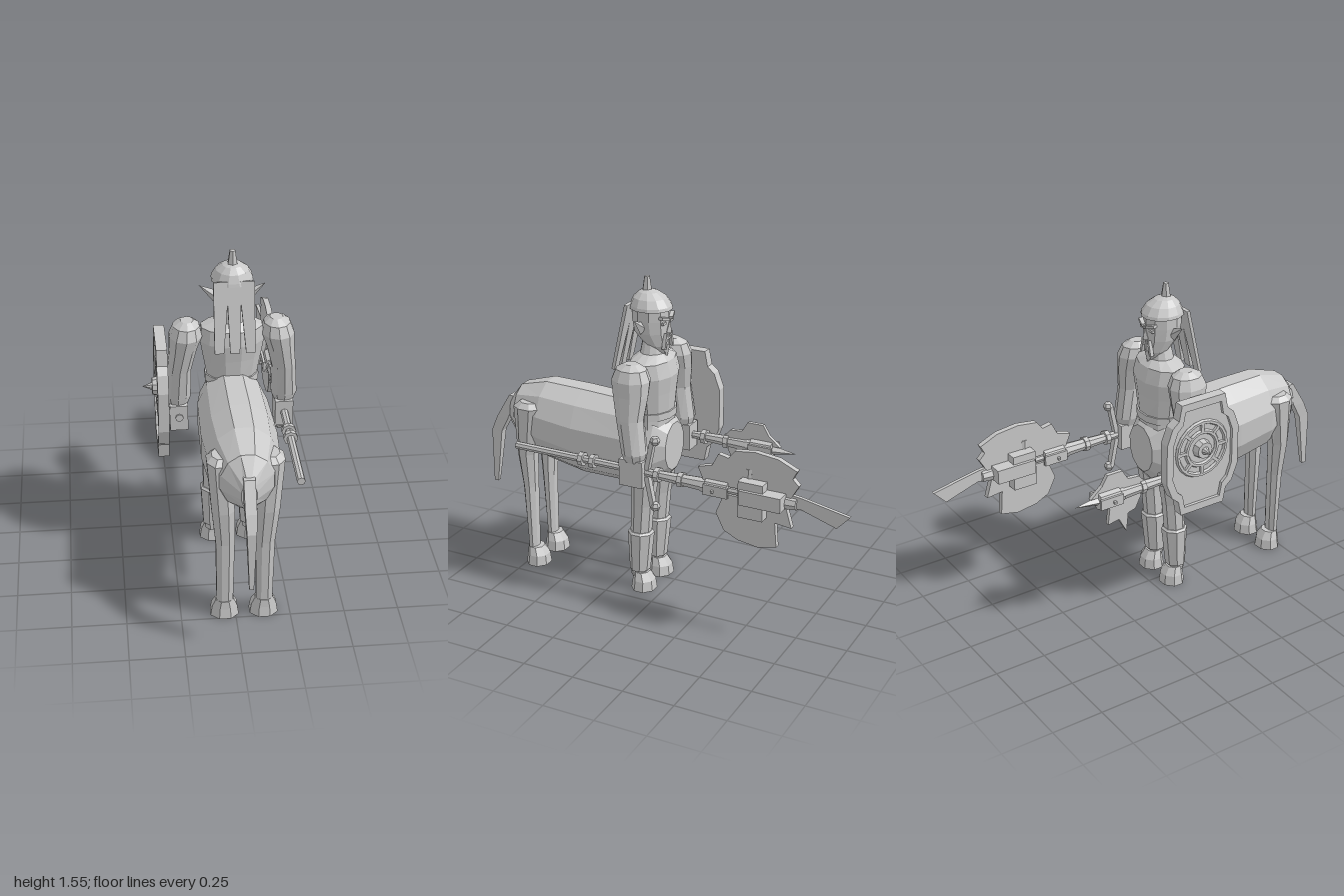
import * as THREE from 'three';

const stone = new THREE.MeshStandardMaterial({ color: 0xc8c8c8, flatShading: true, side: THREE.DoubleSide });
stone.name = 'light grey';

function add(parent, name, geo, x = 0, y = 0, z = 0) {
  const m = new THREE.Mesh(geo, stone);
  m.name = name;
  m.position.set(x, y, z);
  parent.add(m);
  return m;
}
function group(parent, name, x = 0, y = 0, z = 0) {
  const g = new THREE.Group();
  g.name = name;
  g.position.set(x, y, z);
  parent.add(g);
  return g;
}
const box = (w, h, d) => new THREE.BoxGeometry(w, h, d);

// Skin over elliptical rings [x, y, z, r1, r2]: flat rings go up y, upright rings go towards -z
function loft(rings, sides, upright = false) {
  const pos = [], idx = [], n = rings.length;
  for (const [x, y, z, r1, r2] of rings)
    for (let j = 0; j < sides; j++) {
      const a = ((j + 0.5) / sides) * Math.PI * 2, c = Math.cos(a) * r1, s = Math.sin(a) * r2;
      if (upright) pos.push(x + c, y + s, z); else pos.push(x + c, y, z + s);
    }
  for (const k of [0, n - 1]) pos.push(rings[k][0], rings[k][1], rings[k][2]);
  for (let j = 0; j < sides; j++) {
    const k = (j + 1) % sides, top = (n - 1) * sides;
    for (let i = 0; i < n - 1; i++) {
      const a = i * sides + j, b = a + sides, c = i * sides + k, d = c + sides;
      idx.push(a, b, c, b, d, c);
    }
    idx.push(n * sides, j, k, n * sides + 1, top + k, top + j);
  }
  const g = new THREE.BufferGeometry();
  g.setAttribute('position', new THREE.Float32BufferAttribute(pos, 3));
  g.setIndex(idx);
  const flat = g.toNonIndexed();
  flat.computeVertexNormals();
  return flat;
}

// Plate standing in the z/y plane, outlined by [z, y] points
function plate(points, thick, hole) {
  const flip = (p) => p.map(([z, y]) => new THREE.Vector2(-z, y));
  const s = new THREE.Shape(flip(points));
  if (hole) s.holes.push(new THREE.Path(flip(hole)));
  const g = new THREE.ExtrudeGeometry(s, { depth: thick, bevelEnabled: false });
  return g.translate(0, 0, -thick / 2).rotateY(Math.PI / 2);
}
// Round bar along z from z0 (radius r0) to z1 (radius r1)
function rod(parent, name, z0, z1, r0, r1, sides = 8) {
  const g = new THREE.CylinderGeometry(r0, r1, Math.abs(z0 - z1), sides).rotateX(Math.PI / 2);
  return add(parent, name, g, 0, 0, (z0 + z1) / 2);
}

function addHead(body) {
  const head = group(body, 'head', 0, 0, 0.1);
  add(head, 'skull', loft([[0, 1.2, -0.055, 0.022, 0.025], [0, 1.24, -0.03, 0.055, 0.06], [0, 1.3, -0.005, 0.078, 0.085],
    [0, 1.36, 0, 0.085, 0.09], [0, 1.43, 0, 0.085, 0.09]], 10));
  add(head, 'helmetDome', loft([[0, 1.41, 0, 0.097, 0.104], [0, 1.425, 0, 0.094, 0.1], [0, 1.46, 0.005, 0.075, 0.08],
    [0, 1.485, 0.012, 0.045, 0.048], [0, 1.495, 0.015, 0.02, 0.02]], 12));
  add(head, 'helmetSpike', new THREE.CylinderGeometry(0.014, 0.025, 0.07, 6), 0, 1.52, 0.02);
  // Face
  const nose = add(head, 'nose', new THREE.ConeGeometry(0.018, 0.065, 4), 0, 1.335, -0.093);
  nose.rotation.x = -0.15;
  add(head, 'mouth', box(0.04, 0.01, 0.02), 0, 1.275, -0.082);
  for (const s of [-1, 1]) {
    const brow = add(head, 'brow', box(0.05, 0.014, 0.025), s * 0.035, 1.375, -0.085);
    brow.rotation.set(0, s * -0.3, s * 0.25);
    add(head, 'eye', box(0.028, 0.012, 0.012), s * 0.035, 1.352, -0.083);
    const tache = add(head, 'moustache', box(0.014, 0.075, 0.018), s * 0.03, 1.265, -0.085);
    tache.rotation.z = s * 0.25;
    const ear = add(head, 'ear', new THREE.ConeGeometry(0.03, 0.1, 4), s * 0.11, 1.355, 0.01);
    ear.scale.z = 0.6;
    ear.rotation.z = s * -0.95;
  }
  const beard = add(head, 'beard', new THREE.ConeGeometry(0.022, 0.09, 5), 0, 1.2, -0.075);
  beard.rotation.x = Math.PI;
  // Hair hangs down the back in three strands
  const hair = new THREE.Shape([[-0.092, 0], [-0.092, -0.33], [-0.05, -0.33], [-0.03, -0.1], [-0.022, -0.33], [0.022, -0.33],
    [0.03, -0.1], [0.05, -0.33], [0.092, -0.33], [0.092, 0]].map((p) => new THREE.Vector2(...p)));
  const h = add(head, 'hair', new THREE.ExtrudeGeometry(hair, { depth: 0.016, bevelEnabled: false }), 0, 1.43, 0.075);
  h.rotation.x = -0.22;
}

function addLegs(body, s) {
  const hoof = (x, z) => add(body, 'hoof', loft([[x, 0, z, 0.07, 0.062], [x, 0.05, z, 0.062, 0.055],
    [x, 0.09, z + 0.012, 0.045, 0.04]], 8));
  const x = s * 0.09;
  hoof(x, 0.7);
  hoof(x, 0.1);
  add(body, 'hindLeg', loft([[x, 0.07, 0.722, 0.04, 0.024], [x, 0.42, 0.73, 0.046, 0.036], [s * 0.1, 0.6, 0.735, 0.055, 0.05],
    [s * 0.115, 0.85, 0.71, 0.06, 0.08], [s * 0.11, 0.875, 0.71, 0.04, 0.05]], 8));
  add(body, 'frontLeg', loft([[x, 0.07, 0.125, 0.042, 0.042], [x, 0.3, 0.115, 0.05, 0.052], [x, 0.45, 0.105, 0.052, 0.055],
    [x, 0.65, 0.09, 0.068, 0.075], [s * 0.08, 0.8, 0.08, 0.06, 0.07]], 8));
  add(body, 'legGuard', loft([[x, 0.1, 0.122, 0.052, 0.05], [x, 0.3, 0.115, 0.064, 0.065], [x, 0.31, 0.115, 0.055, 0.055]], 8));
}

function addArm(body, s) {
  add(body, 'arm', loft([[s * 0.25, 0.75, 0.06, 0.048, 0.05], [s * 0.25, 0.79, 0.06, 0.063, 0.06], [s * 0.243, 0.95, 0.085, 0.058, 0.068],
    [s * 0.225, 1.06, 0.09, 0.066, 0.088], [s * 0.212, 1.13, 0.095, 0.078, 0.096], [s * 0.208, 1.18, 0.095, 0.062, 0.075],
    [s * 0.205, 1.203, 0.095, 0.03, 0.035]], 10));
  add(body, 'hand', box(0.085, 0.13, 0.12), s * 0.248, 0.695, 0.062);
}

// Pieces both weapons share
function addWeaponBase(w) {
  rod(w, 'collar', -0.02, -0.32, 0.02, 0.034);
  for (const z of [-0.06, -0.18, -0.3]) rod(w, 'band', z + 0.012, z - 0.012, 0.036, 0.036);
  add(w, 'crossPin', box(0.13, 0.012, 0.012), 0, 0, -0.36);
  rod(w, 'socket', -0.31, -0.42, 0.045, 0.045);
  for (const s of [-1, 1]) add(w, 'sidePlate', box(0.012, 0.05, 0.12), s * 0.045, 0, -0.37);
}

function addPolearm(root) {
  const w = group(root, 'polearm', 0.289, 0.7, 0);
  rod(w, 'shaft', 0.7, -0.74, 0.019, 0.019);
  for (const z of [0.28, 0.34]) rod(w, 'gripRing', z + 0.012, z - 0.012, 0.034, 0.034);
  addWeaponBase(w);
  // Curved guard with knobs before the hand
  for (const s of [-1, 1]) {
    const bar = add(w, 'guard', box(0.03, 0.15, 0.022), 0, s * 0.09, -0.02);
    bar.rotation.x = s * -0.2;
    add(w, 'guardKnob', new THREE.SphereGeometry(0.025, 6, 4), 0, s * 0.165, -0.045);
  }
  add(w, 'headBlock', box(0.13, 0.175, 0.12), 0, -0.005, -0.55);
  add(w, 'headClamp', box(0.16, 0.07, 0.2), 0, 0.01, -0.6);
  add(w, 'clampBolt', new THREE.CylinderGeometry(0.02, 0.02, 0.05, 8), 0, 0.1, -0.52);
  add(w, 'upperBlade', plate([[-0.3, 0.02], [-0.27, 0.09], [-0.34, 0.11], [-0.37, 0.17], [-0.42, 0.16], [-0.45, 0.2], [-0.55, 0.213],
    [-0.66, 0.2], [-0.75, 0.16], [-0.73, 0.12], [-0.76, 0.09], [-0.72, 0.02]], 0.028));
  add(w, 'lowerBlade', plate([[-0.4, -0.02], [-0.36, -0.12], [-0.4, -0.2], [-0.47, -0.235], [-0.57, -0.25], [-0.66, -0.23],
    [-0.65, -0.11], [-0.73, -0.12], [-0.7, -0.02]], 0.028));
  add(w, 'pointBlade', plate([[-0.64, 0.05], [-0.77, 0.035], [-1, -0.01], [-0.94, -0.075], [-0.77, -0.02], [-0.64, -0.04]], 0.018));
  rod(w, 'tipSocket', -0.64, -0.75, 0.04, 0.03);
}

function addShortAxe(root) {
  const w = group(root, 'shortAxe', -0.207, 0.7, 0);
  rod(w, 'handle', 0.13, -0.42, 0.019, 0.019);
  addWeaponBase(w);
  add(w, 'upperBlade', plate([[-0.16, 0.02], [-0.2, 0.065], [-0.26, 0.07], [-0.29, 0.12], [-0.37, 0.12], [-0.4, 0.07], [-0.46, 0.02]], 0.02));
  add(w, 'lowerBlade', plate([[-0.18, -0.02], [-0.22, -0.1], [-0.26, -0.11], [-0.27, -0.205], [-0.31, -0.13], [-0.37, -0.14],
    [-0.36, -0.06], [-0.42, -0.02]], 0.02));
  add(w, 'point', new THREE.ConeGeometry(0.025, 0.13, 4).rotateX(-Math.PI / 2), 0, 0, -0.475);
}

function addShield(root) {
  const g = group(root, 'shield', -0.28, 0.83, 0.09);
  const quarter = [[0.12, 0.285], [0.135, 0.21], [0.17, 0.18], [0.2, 0.1]];
  const back = [...quarter].reverse();
  const outline = [...quarter, ...back.map(([z, y]) => [z, -y]), ...quarter.map(([z, y]) => [-z, -y]), ...back.map(([z, y]) => [-z, y])];
  add(g, 'shieldPlate', plate(outline, 0.035));
  add(g, 'shieldRim', plate(outline, 0.05, outline.map(([z, y]) => [z * 0.83, y * 0.87])), -0.008);
  for (const r of [0.135, 0.085]) add(g, 'shieldRing', new THREE.TorusGeometry(r, 0.012, 6, 20).rotateY(Math.PI / 2), -0.02, 0.03, 0);
  for (let i = 0; i < 8; i++) {
    const spoke = add(g, 'shieldSpoke', box(0.016, 0.05, 0.016).translate(0, 0.11, 0), -0.022, 0.03, 0);
    spoke.rotation.x = (i * Math.PI) / 4;
  }
  add(g, 'bossDisc', new THREE.CylinderGeometry(0.04, 0.05, 0.04, 10).rotateZ(Math.PI / 2), -0.03, 0.03, 0);
  add(g, 'bossSpike', new THREE.ConeGeometry(0.022, 0.05, 8).rotateZ(Math.PI / 2), -0.07, 0.03, 0);
  add(g, 'shieldStrap', box(0.06, 0.03, 0.1), 0.03, -0.1, -0.02);
}

export function createModel() {
  const root = new THREE.Group();
  root.name = 'centaurWarrior';
  const body = group(root, 'body', 0.04);
  add(body, 'barrel', loft([[0, 0.76, 0.875, 0.035, 0.07], [0, 0.785, 0.8, 0.12, 0.14], [0, 0.765, 0.65, 0.165, 0.205],
    [0, 0.745, 0.45, 0.178, 0.222], [0, 0.737, 0.15, 0.17, 0.215], [0, 0.735, 0.04, 0.15, 0.19], [0, 0.74, -0.02, 0.1, 0.12]], 12, true));
  add(body, 'torso', loft([[0, 0.78, 0.085, 0.13, 0.095], [0, 0.92, 0.085, 0.12, 0.092], [0, 1.02, 0.085, 0.138, 0.1], [0, 1.1, 0.085, 0.152, 0.11],
    [0, 1.17, 0.09, 0.145, 0.095], [0, 1.2, 0.09, 0.07, 0.06], [0, 1.26, 0.09, 0.05, 0.05]], 12));
  add(body, 'belt', loft([[0, 0.89, 0.085, 0.128, 0.1], [0, 0.925, 0.085, 0.128, 0.1]], 12));
  add(body, 'tail', loft([[0, 0.355, 0.99, 0.014, 0.016], [0, 0.64, 0.965, 0.03, 0.04], [0, 0.72, 0.925, 0.036, 0.045],
    [0, 0.845, 0.86, 0.036, 0.03]], 4));
  addHead(body);
  for (const s of [-1, 1]) {
    addLegs(body, s);
    addArm(body, s);
  }
  addPolearm(root);
  addShortAxe(root);
  addShield(root);
  return root;
}
